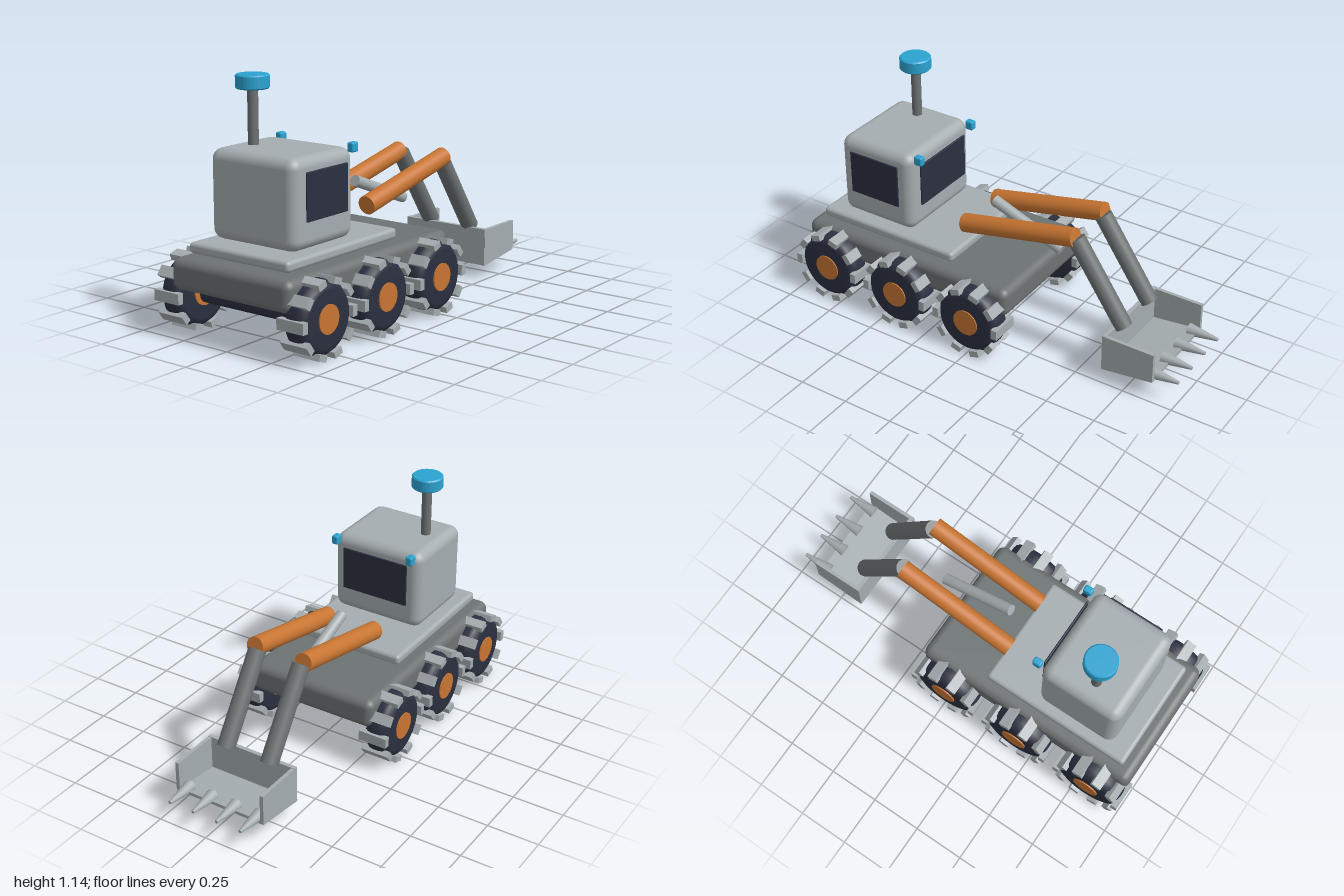
import * as THREE from 'three';
import { RoundedBoxGeometry } from 'three/addons/geometries/RoundedBoxGeometry.js';

const material = (name, color) => {
  const m = new THREE.MeshStandardMaterial({ color });
  m.name = name;
  return m;
};

export function createModel() {
  const light = material('light grey', 0xa5adb0);
  const dark = material('dark grey', 0x6d7273);
  const navy = material('dark navy', 0x2b3040);
  const orange = material('orange', 0xc87532);
  const blue = material('blue', 0x2aa3d1);

  const model = new THREE.Group();
  model.name = 'roverExcavator';

  const add = (name, geometry, mat, x = 0, y = 0, z = 0, parent = model) => {
    const mesh = new THREE.Mesh(geometry, mat);
    mesh.name = name;
    mesh.position.set(x, y, z);
    parent.add(mesh);
    return mesh;
  };

  // Rounded box given by its [min, max] range on each axis
  const slab = (name, mat, [x0, x1], [y0, y1], [z0, z1], radius) =>
    add(name, new RoundedBoxGeometry(x1 - x0, y1 - y0, z1 - z0, 3, radius), mat,
      (x0 + x1) / 2, (y0 + y1) / 2, (z0 + z1) / 2);

  // Cylinder between two points in the side plane at depth z
  const rod = (name, mat, [x0, y0], [x1, y1], z, radius) => {
    const length = Math.hypot(x1 - x0, y1 - y0);
    const mesh = add(name, new THREE.CylinderGeometry(radius, radius, length, 24), mat,
      (x0 + x1) / 2, (y0 + y1) / 2, z);
    mesh.rotation.z = Math.atan2(y1 - y0, x1 - x0) - Math.PI / 2;
    return mesh;
  };

  // Hull and deck
  slab('chassis', dark, [-0.988, 0.17], [0.215, 0.36], [-0.338, 0.338], 0.04);
  slab('bellyPan', navy, [-0.89, 0.07], [0.145, 0.22], [-0.27, 0.27], 0.03);
  slab('deck', light, [-0.925, -0.165], [0.374, 0.424], [-0.283, 0.283], 0.018);

  // Cab with front and left-hand windows
  slab('cab', light, [-0.834, -0.421], [0.428, 0.832], [-0.241, 0.241], 0.05);
  slab('frontWindow', navy, [-0.413, -0.404], [0.555, 0.773], [-0.177, 0.177], 0.004);
  slab('sideWindow', navy, [-0.763, -0.487], [0.557, 0.773], [0.247, 0.256], 0.004);

  // Lamps
  for (const side of [-1, 1]) {
    add('lamp', new RoundedBoxGeometry(0.043, 0.045, 0.034, 2, 0.008), blue, -0.39, 0.82, side * 0.206);
  }

  // Sensor mast
  rod('mast', dark, [-0.655, 0.81], [-0.655, 1.09], -0.137, 0.024);
  const head = new THREE.LatheGeometry([
    [0, 1.079], [0.07, 1.079], [0.076, 1.085], [0.076, 1.136], [0.07, 1.142], [0, 1.142],
  ].map(([r, y]) => new THREE.Vector2(r, y)), 32);
  add('sensorHead', head.toNonIndexed(), blue, -0.655, 0, -0.137).geometry.computeVertexNormals();

  // Wheels: bevelled tyre, ten tread blocks, hub
  const tyreGeometry = new THREE.LatheGeometry([
    [0, -0.06], [0.125, -0.06], [0.148, -0.052], [0.162, -0.035], [0.166, -0.015],
    [0.166, 0.015], [0.162, 0.035], [0.148, 0.052], [0.125, 0.06], [0, 0.06],
  ].map(([r, y]) => new THREE.Vector2(r, y)), 36);
  tyreGeometry.rotateX(Math.PI / 2);
  const hubGeometry = new THREE.CylinderGeometry(0.065, 0.065, 0.132, 24).rotateX(Math.PI / 2);
  const treadGeometry = new THREE.BoxGeometry(0.03, 0.05, 0.144);
  for (const x of [-0.82, -0.41, 0]) {
    for (const side of [-1, 1]) {
      const wheel = new THREE.Group();
      wheel.name = 'wheel';
      wheel.position.set(x, 0.18, side * 0.352);
      model.add(wheel);
      add('tyre', tyreGeometry, navy, 0, 0, 0, wheel);
      add('hub', hubGeometry, orange, 0, 0, 0, wheel);
      for (let i = 0; i < 10; i++) {
        const a = (i / 10) * Math.PI * 2;
        const tread = add('tread', treadGeometry, light, Math.cos(a) * 0.164, Math.sin(a) * 0.164, 0, wheel);
        tread.rotation.z = a;
      }
    }
  }

  // Twin digging arms and central piston
  for (const side of [-1, 1]) {
    rod('upperArm', orange, [-0.193, 0.511], [0.412, 0.644], side * 0.13, 0.045);
    rod('lowerArm', dark, [0.41, 0.632], [0.672, 0.25], side * 0.118, 0.042);
  }
  rod('piston', light, [-0.112, 0.596], [0.262, 0.452], 0, 0.027);

  // Extrude a side outline across the given z range
  const plate = (name, points, z0, z1) => {
    const shape = new THREE.Shape(points.map(([x, y]) => new THREE.Vector2(x, y)));
    add(name, new THREE.ExtrudeGeometry(shape, { depth: z1 - z0, bevelEnabled: false }), light, 0, 0, z0);
  };

  // Open bucket: back, sloping floor, two cheeks
  plate('bucketBack', [[0.627, 0.068], [0.647, 0.068], [0.647, 0.252], [0.627, 0.252]], -0.236, 0.236);
  plate('bucketFloor', [[0.635, 0.066], [0.89, 0.1], [0.89, 0.116], [0.635, 0.086]], -0.236, 0.236);
  const cheek = [[0.63, 0.066], [0.89, 0.1], [0.89, 0.25], [0.63, 0.25]];
  plate('bucketCheek', cheek, 0.219, 0.237);
  plate('bucketCheek', cheek, -0.237, -0.219);

  // Teeth
  for (const z of [-0.19, -0.064, 0.064, 0.19]) {
    const tooth = add('tooth', new THREE.CylinderGeometry(0.008, 0.031, 0.15, 12), light, 0.925, 0.117, z);
    tooth.rotation.z = -Math.PI / 2;
  }

  return model;
}
